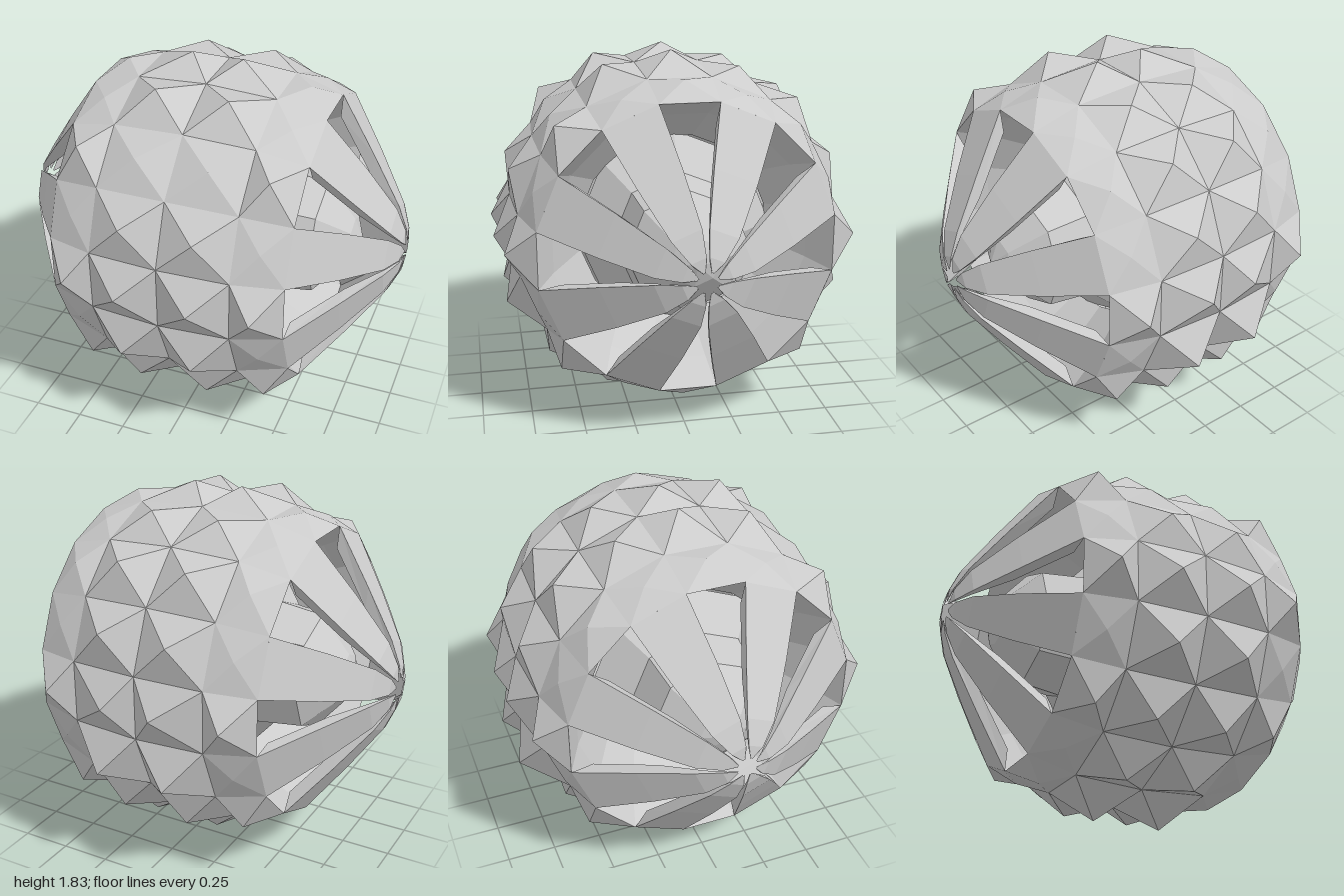
import * as THREE from 'three';

const SIDES = 16, CY = 0.945, STEP = Math.PI * 2 / SIDES;
const material = new THREE.MeshStandardMaterial({ color: 0xcccccc, flatShading: true, side: THREE.DoubleSide });

// Point on a circle around the x axis: angle 0 faces +z, a quarter turn faces +y
const polar = (x, r, a) => [x, r * Math.sin(a), r * Math.cos(a)];

function facetMesh(name, triangles) {
  const geometry = new THREE.BufferGeometry();
  geometry.setAttribute('position', new THREE.Float32BufferAttribute(triangles.flat(2), 3));
  geometry.computeVertexNormals();
  const mesh = new THREE.Mesh(geometry, material);
  mesh.name = name;
  return mesh;
}

// Rings bounding the four columns of folded cells: [x, radius]
const rings = [[-0.59, 0.728], [-0.35, 0.8], [0, 0.822], [0.35, 0.8], [0.59, 0.728]];
// Spike radius of the inner columns, for each cell around the axis
const spikes = [0.9, 0.88, 0.85, 0.9, 0.885, 0.87, 0.9, 0.89, 0.9, 0.95, 0.92, 0.9, 0.945, 0.91, 0.91, 0.92];

function spikedBand() {
  const tris = [];
  for (let c = 0; c < 4; c++) {
    const [x0, r0] = rings[c], [x1, r1] = rings[c + 1];
    const inner = c === 1 || c === 2;
    for (let k = 0; k < SIDES; k++) {
      const a = k * STEP, a0 = a - STEP / 2, a1 = a + STEP / 2;
      // Outer cells next to a petal stay almost flat, the others rise
      const outerRadius = k % 2 ? 0.775 : (k === 4 || k === 6 || k === 12 ? 0.8 : 0.86);
      const x = Math.sign(x0 + x1) * (inner ? (k === 4 || k === 8 ? 0.13 : 0.18) : 0.47);
      const apex = polar(x, inner ? spikes[k] : outerRadius, a);
      const q = [polar(x0, r0, a0), polar(x1, r1, a0), polar(x1, r1, a1), polar(x0, r0, a1)];
      q.forEach((p, i) => tris.push([p, q[(i + 1) % 4], apex]));
    }
  }
  return facetMesh('spikedBand', tris);
}

// Petal sections from the band to the pole: [x, radius, half width, depth of the folded sides]
const petalSections = [
  [0.59, 0.714, 0.142, 0.11], [0.78, 0.45, 0.11, 0.11], [0.935, 0.22, 0.073, 0.05],
  [0.985, 0.11, 0.038, 0.02], [0.995, 0.05, 0.004, 0.005],
];

// A petal is an outer face with a flap folded inwards along both sides
function petal(side, angle) {
  const tris = [];
  const strips = petalSections.map(([x, r, w, depth]) => {
    const half = Math.atan2(w, r), rad = Math.hypot(r, w);
    return [[rad - depth, -half], [rad, -half], [rad, half], [rad - depth, half]]
      .map(([radius, turn]) => polar(side * x, radius, angle + turn));
  });
  for (let i = 0; i < strips.length - 1; i++) {
    for (let j = 0; j < 3; j++) {
      const a = strips[i][j], d = strips[i][j + 1], b = strips[i + 1][j], c = strips[i + 1][j + 1];
      tris.push(...(side > 0 ? [[a, b, c], [a, c, d]] : [[a, c, b], [a, d, c]]));
    }
  }
  return facetMesh('petal', tris);
}

// Solid of revolution around the x axis from [radius, x] points
function turned(name, profile, segments, start) {
  const points = profile.map(([r, x]) => new THREE.Vector2(r, x));
  const geometry = new THREE.LatheGeometry(points, segments, start).rotateZ(-Math.PI / 2);
  const mesh = new THREE.Mesh(geometry, material);
  mesh.name = name;
  return mesh;
}

export function createModel() {
  const model = new THREE.Group();
  model.name = 'foldedBall';
  const ball = new THREE.Group();
  ball.name = 'ball';
  ball.position.y = CY;
  ball.add(spikedBand());

  for (const side of [-1, 1]) {
    const end = new THREE.Group();
    end.name = side > 0 ? 'leftEnd' : 'rightEnd';
    // Eight petals close the end, with open slots between them
    for (let k = 1; k < SIDES; k += 2) end.add(petal(side, k * STEP));
    // Funnel leading inwards from the rim of the band, and the pointed core inside it
    const funnel = [[0.728, 0.59], [0.64, 0.42], [0.48, 0.2]];
    const core = [[0.5, 0.2], [0.33, 0.35], [0.3, 0.58], [0.12, 0.73], [0.001, 0.78]];
    end.add(turned('funnel', funnel.map(([r, x]) => [r, side * x]), SIDES, STEP / 2));
    end.add(turned('core', core.map(([r, x]) => [r, side * x]), SIDES / 2, 0));
    ball.add(end);
  }
  model.add(ball);
  return model;
}
